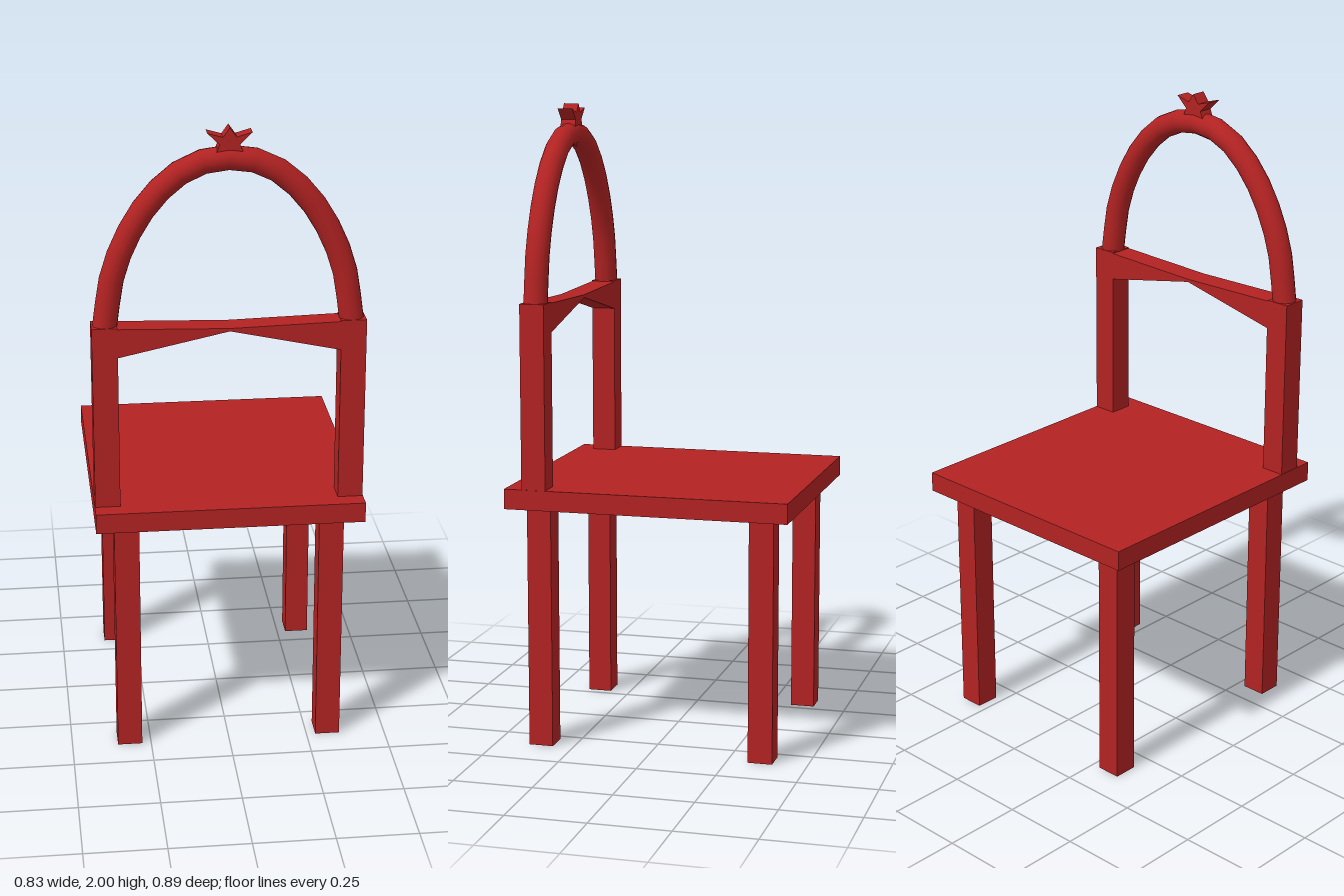
import * as THREE from 'three';

export function createModel() {
  const chair = new THREE.Group();
  chair.name = 'chair';
  const red = new THREE.MeshStandardMaterial({ color: 0xb22222 });
  red.name = 'red paint';
  const backZ = 0.352;

  function add(name, geometry, x = 0, y = 0, z = 0) {
    const mesh = new THREE.Mesh(geometry, red);
    mesh.name = name;
    mesh.position.set(x, y, z);
    chair.add(mesh);
    return mesh;
  }

  // Flat outline in x and y, extruded to a depth centred on the backrest
  function plate(name, points, depth) {
    const shape = new THREE.Shape(points.map(([x, y]) => new THREE.Vector2(x, y)));
    const geometry = new THREE.ExtrudeGeometry(shape, { depth, bevelEnabled: false });
    return add(name, geometry, 0, 0, backZ - depth / 2);
  }

  // Seat
  add('seat', new THREE.BoxGeometry(0.826, 0.063, 0.894), 0, 0.799, 0);

  // Legs and backrest posts
  for (const side of [-1, 1]) {
    for (const end of [-1, 1]) {
      add('leg', new THREE.BoxGeometry(0.077, 0.77, 0.077), side * 0.317, 0.385, end * 0.354);
    }
    add('backPost', new THREE.BoxGeometry(0.077, 0.575, 0.077), side * 0.373, 1.1175, backZ);
  }

  // Crossrail, pinched in the middle
  plate('crossrail', [
    [-0.335, 1.402], [-0.335, 1.312], [0, 1.384], [0.335, 1.312], [0.335, 1.402], [0, 1.393],
  ], 0.077);

  // Round arch
  const half = [[0.371, 1.395], [0.342, 1.57], [0.282, 1.71], [0.213, 1.805], [0.135, 1.87], [0.06, 1.9]];
  const path = [
    ...half.map(([x, y]) => new THREE.Vector3(-x, y, 0)),
    new THREE.Vector3(0, 1.906, 0),
    ...half.slice().reverse().map(([x, y]) => new THREE.Vector3(x, y, 0)),
  ];
  add('backArch', new THREE.TubeGeometry(new THREE.CatmullRomCurve3(path), 18, 0.037, 16), 0, 0, backZ);

  // Pointed finial
  plate('finial', [
    [-0.04, 1.925], [0.04, 1.925], [0.03, 1.95], [0.066, 1.985], [0.02, 1.972],
    [0, 2], [-0.02, 1.972], [-0.066, 1.985], [-0.03, 1.95],
  ], 0.048);

  return chair;
}
